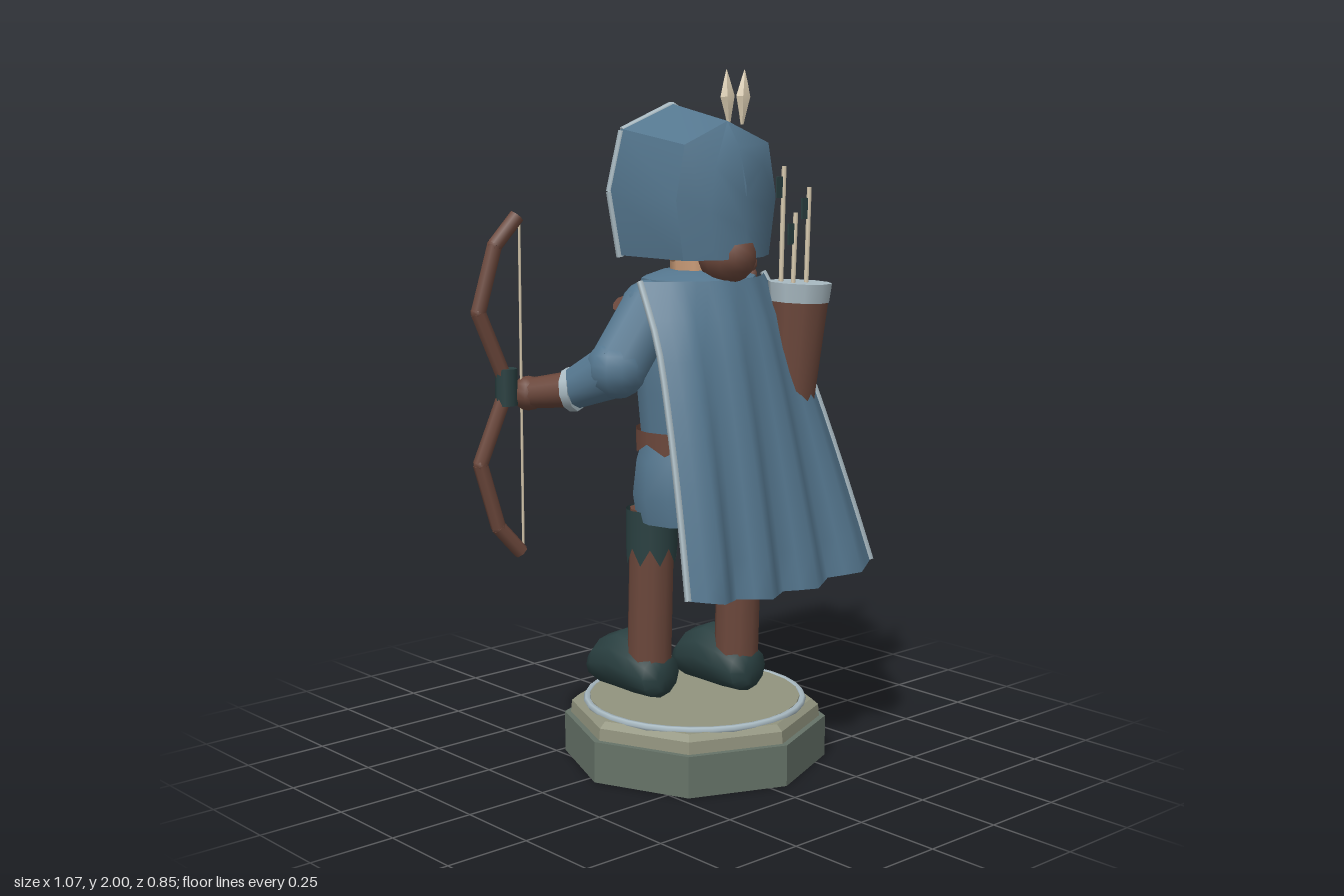
import * as THREE from 'three';
import { toCreasedNormals } from 'three/addons/utils/BufferGeometryUtils.js';

const V = (x, y, z) => new THREE.Vector3(x, y, z);
const CX = 0.047; // body centre line

export function createModel() {
  const root = new THREE.Group();
  root.name = 'hoodedArcher';
  const mat = (name, color, side = THREE.FrontSide) => {
    const m = new THREE.MeshStandardMaterial({ color, side });
    m.name = name;
    return m;
  };
  const cloth = mat('blueCloth', 0x55778f, THREE.DoubleSide);
  const leather = mat('brownLeather', 0x6b473b, THREE.DoubleSide);
  const dark = mat('darkGreen', 0x2a4041, THREE.DoubleSide);
  const trim = mat('paleTrim', 0xa9bac2);
  const skin = mat('skin', 0xc89a76);
  const cream = mat('cream', 0xd9cbb0);
  const stone = mat('plinthGreen', 0x667368);
  const sand = mat('plinthTop', 0x92947f);
  const ink = mat('ink', 0x1b2225);

  const add = (name, geo, m, x = 0, y = 0, z = 0) => {
    const mesh = new THREE.Mesh(geo, m);
    mesh.name = name;
    mesh.position.set(x, y, z);
    root.add(mesh);
    return mesh;
  };
  // Closed elliptical loft; rings are [y, rx, rz, cx, cz] from low to high
  const loft = (rings, n = 12, crease = 0.7) => {
    const pos = [], idx = [], top = (rings.length - 1) * n;
    for (const [y, rx, rz, cx = 0, cz = 0] of rings)
      for (let i = 0; i < n; i++) {
        const a = (i / n) * Math.PI * 2;
        pos.push(cx + rx * Math.cos(a), y, cz + rz * Math.sin(a));
      }
    const c = rings.length * n;
    for (const [y, , , cx = 0, cz = 0] of [rings[0], rings.at(-1)]) pos.push(cx, y, cz);
    for (let i = 0; i < n; i++) {
      const j = (i + 1) % n;
      for (let k = 0; k < top; k += n)
        idx.push(k + i, k + n + i, k + j, k + j, k + n + i, k + n + j);
      idx.push(c, i, j, c + 1, top + j, top + i);
    }
    const g = new THREE.BufferGeometry();
    g.setAttribute('position', new THREE.Float32BufferAttribute(pos, 3));
    g.setIndex(idx);
    return toCreasedNormals(g, crease);
  };
  // Tapered cylinder from a to b
  const rod = (name, a, b, r0, r1, m, n = 8) => {
    const mesh = add(name, new THREE.CylinderGeometry(r1, r0, a.distanceTo(b), n), m);
    mesh.position.copy(a).lerp(b, 0.5);
    mesh.quaternion.setFromUnitVectors(V(0, 1, 0), b.clone().sub(a).normalize());
    return mesh;
  };
  const chain = (name, pts, r, m, n = 7) => {
    for (let i = 0; i < pts.length - 1; i++) rod(name, pts[i], pts[i + 1], r, r, m, n);
  };
  const ball = (name, p, rx, ry, rz, m, w = 12, h = 9) =>
    add(name, new THREE.SphereGeometry(1, w, h), m, p.x, p.y, p.z).scale.set(rx, ry, rz);
  // Open sleeve with a zigzag lower edge
  const fringe = (name, p, rx, rz, h, jag, m) => {
    const g = new THREE.CylinderGeometry(1, 1, h, 16, 1, true), q = g.attributes.position;
    for (let i = 17; i < 34; i++) q.setY(i, q.getY(i) + (i % 2) * jag);
    add(name, g, m, p.x, p.y, p.z).scale.set(rx, 1, rz);
  };

  // Octagonal plinth
  add('plinthBase', loft([[0, 0.386, 0.386], [0.12, 0.386, 0.386]], 8, 0.3), stone, CX, 0, 0.035);
  add('plinthStep', loft([[0.12, 0.368, 0.368], [0.155, 0.365, 0.365], [0.172, 0.345, 0.345]], 8, 0.3), sand, CX, 0, 0.035);
  add('plinthDisc', new THREE.CylinderGeometry(0.31, 0.315, 0.03, 24), sand, CX, 0.167, 0.035);
  add('plinthRing', new THREE.TorusGeometry(0.318, 0.011, 6, 32), trim, CX, 0.174, 0.035).rotation.x = Math.PI / 2;

  // Legs and boots
  for (const [x, z] of [[-0.07, -0.035], [0.168, 0.085]]) {
    const boot = loft([[-0.07, 0.03, 0.04, 0, 0.25], [-0.05, 0.072, 0.066, 0, 0.255], [0.02, 0.085, 0.083, 0, 0.268],
      [0.1, 0.087, 0.092, 0, 0.277], [0.18, 0.08, 0.075, 0, 0.26], [0.225, 0.055, 0.05, 0, 0.24], [0.245, 0.02, 0.02, 0, 0.23]], 12, 1);
    boot.rotateX(-Math.PI / 2);
    add('boot', boot, dark, x, 0, z);
    rod('leg', V(x, 0.29, z), V(x + 0.006, 0.75, z + 0.008), 0.066, 0.066, leather, 10);
    fringe('legging', V(x + 0.005, 0.67, z + 0.006), 0.075, 0.075, 0.16, 0.05, dark);
  }

  // Tunic, belt and buckle
  add('tunicSkirt', loft([[0.72, 0.185, 0.168], [0.8, 0.2, 0.172], [0.9, 0.19, 0.158], [0.98, 0.165, 0.135]], 14), cloth, CX, 0, 0.042);
  add('tunicBody', loft([[0.95, 0.165, 0.135], [1.1, 0.18, 0.145], [1.25, 0.185, 0.145], [1.36, 0.17, 0.13], [1.42, 0.11, 0.1]], 14), cloth, CX, 0, 0.03);
  fringe('belt', V(CX, 0.955, 0.035), 0.186, 0.155, 0.065, 0.03, leather);
  add('buckle', new THREE.BoxGeometry(0.06, 0.045, 0.02), trim, CX, 0.955, -0.122);
  add('cowl', loft([[1.3, 0.19, 0.168], [1.35, 0.195, 0.172], [1.42, 0.175, 0.15], [1.44, 0.11, 0.1]], 12), cloth, CX, 0, 0.05);
  rod('chestStrap', V(-0.11, 1.34, -0.115), V(0.32, 1.03, -0.14), 0.025, 0.025, leather);

  // Cape with folds at the hem
  const capePoint = (u, v) => {
    const f = (2 * (u + 1)) % 1, tri = 1 - Math.abs(2 * f - 1), bow = 1 - u * u;
    const top = 0.065 + 0.135 * bow, low = 0.35 + 0.05 * tri;
    return V(0.05 + 0.047 * v + u * (0.238 + 0.125 * v), 1.42 - 0.84 * v - 0.035 * bow * v,
      top + (low - top) * Math.pow(v, 0.7));
  };
  const cape = new THREE.PlaneGeometry(2, 1, 16, 8), cp = cape.attributes.position;
  for (let i = 0; i < cp.count; i++) {
    const p = capePoint(cp.getX(i), 0.5 - cp.getY(i));
    cp.setXYZ(i, p.x, p.y, p.z);
  }
  cape.computeVertexNormals();
  add('cape', cape, cloth);
  for (const u of [-1, 1]) {
    const pts = [0, 0.2, 0.4, 0.6, 0.8, 1].map((v) => capePoint(u, v));
    add('capeEdge', new THREE.TubeGeometry(new THREE.CatmullRomCurve3(pts), 12, 0.01, 5), trim);
  }

  // Head and face
  rod('neck', V(CX, 1.36, 0.035), V(CX, 1.5, 0.03), 0.07, 0.07, skin);
  ball('head', V(CX, 1.62, 0.02), 0.13, 0.18, 0.13, skin, 16, 12);
  ball('hair', V(CX, 1.72, 0.05), 0.145, 0.135, 0.14, leather);
  ball('hairBun', V(CX, 1.485, 0.165), 0.08, 0.078, 0.09, leather);
  add('nose', new THREE.ConeGeometry(0.024, 0.07, 6), skin, CX, 1.6, -0.115).rotation.x = -0.2;
  add('mouth', new THREE.BoxGeometry(0.06, 0.01, 0.01), ink, CX, 1.53, -0.096);
  for (const s of [-1, 1]) {
    ball('eye', V(CX + s * 0.05, 1.64, -0.097), 0.02, 0.016, 0.012, ink, 8, 6);
    add('eyebrow', new THREE.BoxGeometry(0.056, 0.014, 0.022), leather, CX + s * 0.05, 1.678, -0.097).rotation.z = s * 0.15;
  }
  for (let i = 0; i < 4; i++) ball('braid', V(0.205 + 0.004 * i, 1.52 - i * 0.035, 0.09), 0.027 - i * 0.003, 0.025, 0.027 - i * 0.003, leather, 7, 5);

  // Hood: an arch swept back and closed to a centre ridge
  const arch = [[-0.17, 1.475, -0.1], [-0.197, 1.66, -0.113], [-0.165, 1.83, -0.095], [0, 1.9, -0.068],
    [0.165, 1.83, -0.095], [0.197, 1.66, -0.113], [0.17, 1.475, -0.1]];
  const sections = [[1, 1, 0], [0.97, 0.89, 0.165], [0.55, 0.72, 0.215], [0, 0.47, 0.243]]; // x scale, y scale, z
  const hp = [], hi = [];
  sections.forEach(([sx, sy, z], r) => arch.forEach(([x, y, z0], i) => {
    hp.push(CX + x * sx, 1.48 + (y - 1.475) * sy, r ? z : z0);
    const k = r * 7 + i;
    if (r < 3 && i < 6) hi.push(k, k + 7, k + 1, k + 1, k + 7, k + 8);
  }));
  for (let t = 0; t < hi.length; t += 3) [hi[t + 1], hi[t + 2]] = [hi[t + 2], hi[t + 1]];
  // Corner order is set so the outside of the dome faces out
  const outward = () => {
    const p = (i) => V(hp[i * 3], hp[i * 3 + 1], hp[i * 3 + 2]);
    const a = p(hi[0]);
    return p(hi[1]).sub(a).cross(p(hi[2]).sub(a)).x < 0;
  };
  if (!outward()) hi.reverse();
  const hood = new THREE.BufferGeometry();
  hood.setAttribute('position', new THREE.Float32BufferAttribute(hp, 3));
  hood.setIndex(hi);
  add('hood', toCreasedNormals(hood, 0.75), cloth);
  chain('hoodTrim', arch.map(([x, y, z]) => V(CX + x * 0.98, y, z)), 0.011, trim, 6);

  // Feathers on the hood
  for (const [x, tilt] of [[0.142, 0.06], [0.204, -0.06]]) {
    const g = loft([[-0.08, 0.005, 0.004], [-0.05, 0.012, 0.009], [0, 0.028, 0.016], [0.04, 0.014, 0.009], [0.075, 0.001, 0.001]], 6, 0.3);
    add('feather', g, cream, x, 1.925, 0.065).rotation.z = tilt;
  }

  // Arms: sleeve, trim band, glove
  const arms = [
    [V(-0.12, 1.34, 0.03), V(-0.245, 1.18, 0.03), V(-0.305, 1.115, -0.09), V(-0.365, 1.095, -0.215)],
    [V(0.215, 1.34, 0.03), V(0.315, 1.18, 0.02), V(0.285, 1.12, -0.15), V(0.215, 1.09, -0.24)],
  ];
  for (const [shoulder, elbow, cuff, hand] of arms) {
    ball('shoulder', shoulder, 0.085, 0.08, 0.09, cloth);
    rod('upperSleeve', shoulder, elbow, 0.085, 0.085, cloth, 10);
    ball('elbow', elbow, 0.087, 0.085, 0.087, cloth);
    rod('lowerSleeve', elbow, cuff, 0.082, 0.058, cloth, 10);
    const dir = hand.clone().sub(cuff).normalize();
    rod('cuffBand', cuff.clone().addScaledVector(dir, -0.012), cuff.clone().addScaledVector(dir, 0.014), 0.064, 0.062, trim, 10);
    rod('glove', cuff, hand, 0.052, 0.043, leather, 10);
    ball('hand', hand, 0.05, 0.05, 0.05, leather, 9, 7);
  }

  // Bow, mirrored about the grip
  const limb = [[-0.437, 0.03, -0.235], [-0.513, 0.215, -0.248], [-0.463, 0.4, -0.235], [-0.395, 0.48, -0.22]];
  for (const s of [-1, 1]) {
    const pts = limb.map(([x, y, z]) => V(x, 1.117 + s * y, z));
    chain('bowLimb', pts, 0.022, leather);
    for (const p of pts.slice(1, 3)) ball('bowJoint', p, 0.022, 0.022, 0.022, leather, 7, 5);
  }
  rod('bowGrip', V(-0.43, 1.065, -0.233), V(-0.43, 1.17, -0.233), 0.032, 0.032, dark);
  rod('bowString', V(-0.387, 0.64, -0.22), V(-0.387, 1.595, -0.22), 0.004, 0.004, cream, 5);

  // Held arrow
  const tail = V(0.08, 1.068, -0.21), tip = V(0.533, 1.068, -0.425);
  const neck = tail.clone().lerp(tip, 0.87);
  rod('arrowShaft', tail, neck, 0.009, 0.009, cream, 6);
  rod('arrowHead', neck, tip, 0.024, 0.0005, trim, 6);

  // Quiver with three arrows
  rod('quiver', V(0.262, 0.95, 0.2), V(0.287, 1.35, 0.214), 0.06, 0.085, leather, 10);
  rod('quiverRim', V(0.287, 1.345, 0.214), V(0.289, 1.4, 0.215), 0.087, 0.093, trim, 10);
  for (const [x, z, h] of [[0.256, 0.18, 1.73], [0.31, 0.228, 1.67], [0.256, 0.228, 1.6]]) {
    rod('quiverArrow', V(x - 0.01, 1.35, z), V(x, h, z), 0.007, 0.007, cream, 6);
    add('fletching', new THREE.BoxGeometry(0.032, 0.06, 0.005), dark, x - 0.014, h - 0.06, z);
  }
  return root;
}
